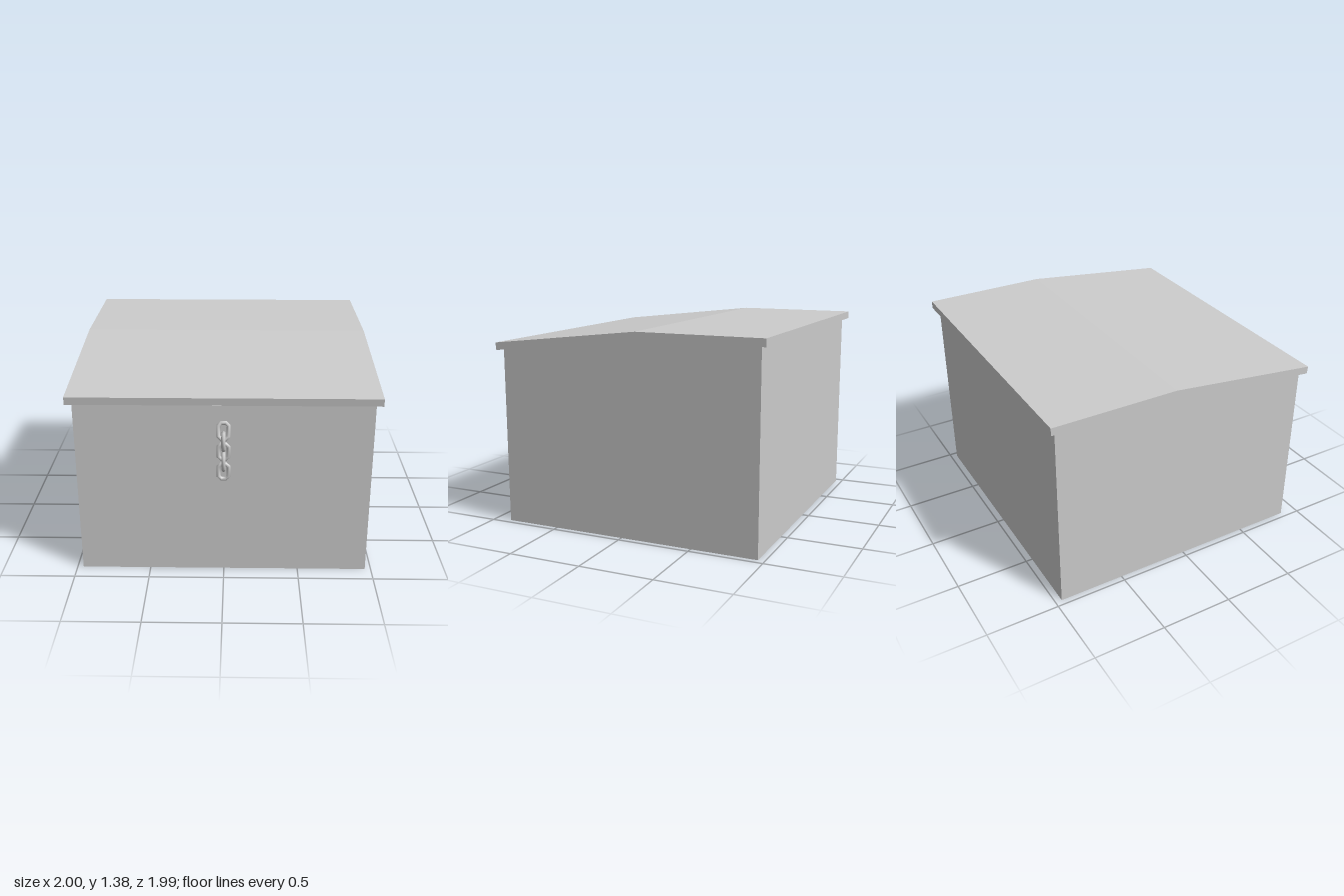
import * as THREE from 'three';

const material = new THREE.MeshStandardMaterial({ color: 0xcccccc });

function addMesh(parent, name, geometry) {
  const mesh = new THREE.Mesh(geometry, material);
  mesh.name = name;
  parent.add(mesh);
  return mesh;
}

// Side profile given as [z, y] points, extruded across x and centred
function sideExtrude(points, width) {
  const shape = new THREE.Shape(points.map(([z, y]) => new THREE.Vector2(-z, y)));
  return new THREE.ExtrudeGeometry(shape, { depth: width, bevelEnabled: false })
    .translate(0, 0, -width / 2)
    .rotateY(Math.PI / 2);
}

// Chain link: eight-sided ring pulled apart into a long oval
function linkGeometry() {
  const geometry = new THREE.TorusGeometry(0.0355, 0.0135, 8, 8).rotateZ(Math.PI / 8);
  const pos = geometry.attributes.position;
  for (let i = 0; i < pos.count; i++) {
    pos.setY(i, pos.getY(i) + Math.sign(pos.getY(i)) * 0.0195);
  }
  geometry.computeBoundingSphere();
  return geometry;
}

export function createModel() {
  const model = new THREE.Group();
  model.name = 'storageBox';

  // Body with a top edge that follows the lid
  addMesh(model, 'body', sideExtrude(
    [[0.88, 0], [0.88, 1.212], [-0.14, 1.327], [-0.955, 1.327], [-0.955, 0]], 1.92));

  // Overhanging bent lid
  addMesh(model, 'lid', sideExtrude(
    [[0.913, 1.207], [0.918, 1.258], [-0.137, 1.378], [-0.995, 1.378],
      [-0.995, 1.326], [-0.14, 1.326]], 2));

  // Latch plate
  addMesh(model, 'latchPlate', new THREE.BoxGeometry(0.145, 0.175, 0.034))
    .position.set(0, 1.117, 0.895);

  // Hanging chain, alternate links turned a quarter
  const chain = new THREE.Group();
  chain.name = 'chain';
  model.add(chain);
  const link = linkGeometry();
  for (let i = 0; i < 5; i++) {
    const mesh = addMesh(chain, `chainLink${i + 1}`, link);
    mesh.position.set(0, 1.048 - i * 0.0695, 0.95);
    if (i % 2) mesh.rotation.y = Math.PI / 2;
  }
  // The top link leans back onto the plate
  chain.children[0].rotation.x = -0.3;
  chain.children[0].position.z = 0.944;

  return model;
}
